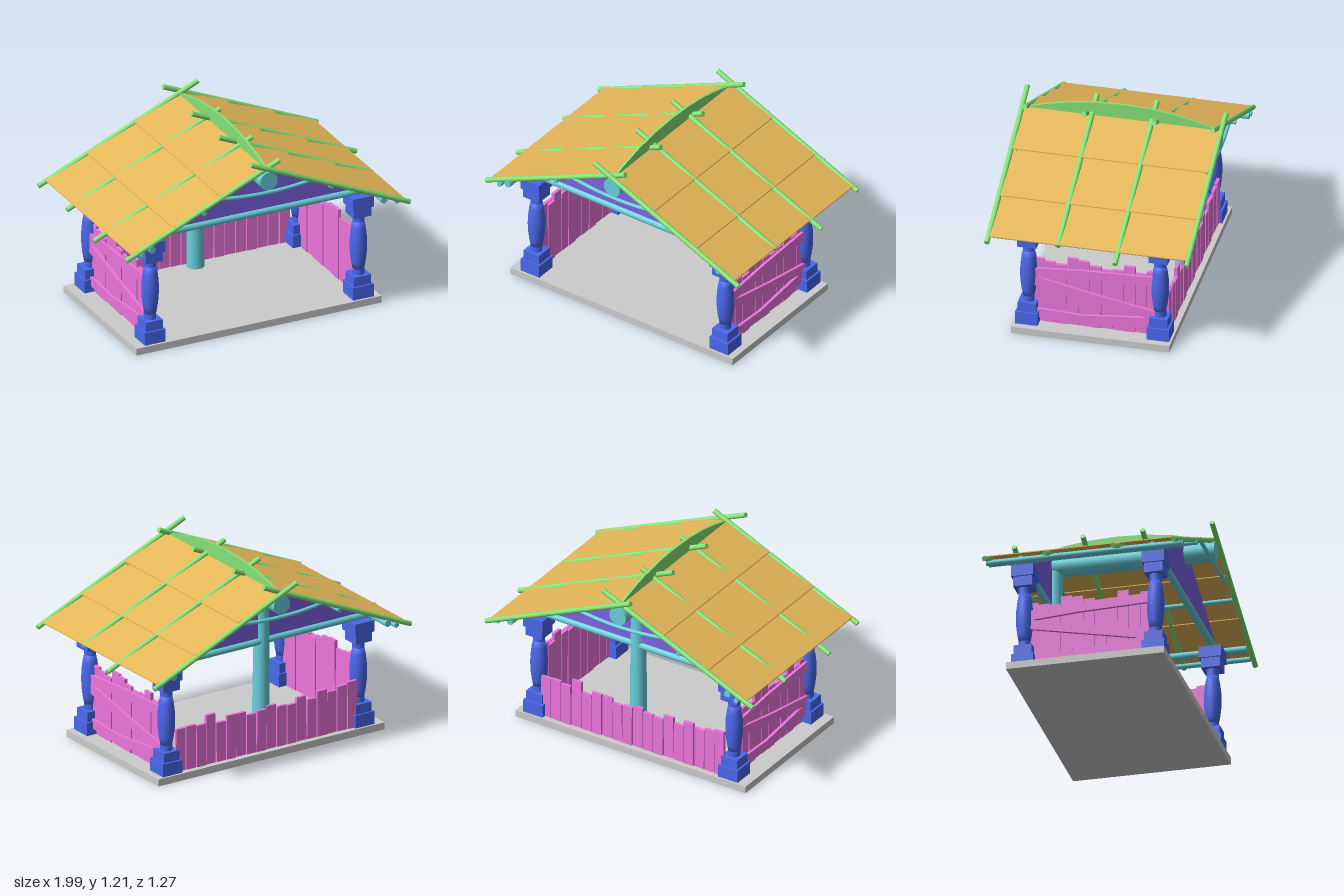
import * as THREE from 'three';

const mat = color => new THREE.MeshStandardMaterial({ color });
const GREY = mat(0xcccccc), GREEN = mat(0x86e276), TAN = mat(0xe4b658), CYAN = mat(0x69d0dc);
const BLUE = mat(0x4a68ec), PURPLE = mat(0x7c62e4), PINK = mat(0xec76dc);
const V = (x, y, z) => new THREE.Vector3(x, y, z);

function add(parent, name, geometry, material, x = 0, y = 0, z = 0) {
  const mesh = new THREE.Mesh(geometry, material);
  mesh.name = name;
  mesh.position.set(x, y, z);
  parent.add(mesh);
  return mesh;
}

// Round pole between two points
function pole(parent, name, a, b, r0, r1, material, sides = 16) {
  const mesh = add(parent, name, new THREE.CylinderGeometry(r1, r0, a.distanceTo(b), sides), material);
  mesh.position.copy(a).add(b).multiplyScalar(0.5);
  mesh.quaternion.setFromUnitVectors(V(0, 1, 0), b.clone().sub(a).normalize());
}

// Flat board cut from an outline, centred on its thickness
function board(points, thickness) {
  const shape = new THREE.Shape(points.map(([x, y]) => new THREE.Vector2(x, y)));
  return new THREE.ExtrudeGeometry(shape, { depth: thickness, bevelEnabled: false })
    .translate(0, 0, -thickness / 2);
}
// Same, with the outline given as (z, y)
const sideBoard = (points, thickness) => board(points, thickness).rotateY(-Math.PI / 2);

// Turned post with stepped square foot and capital
function makePost(x, z) {
  const post = new THREE.Group();
  post.name = 'cornerPost';
  const blocks = [[0.002, 0.128, 0.14], [0.128, 0.19, 0.115], [0.585, 0.648, 0.118], [0.648, 0.722, 0.14]];
  for (const [y0, y1, w] of blocks)
    add(post, 'postBlock', new THREE.BoxGeometry(w, y1 - y0, w), BLUE, 0, (y0 + y1) / 2);
  for (const [y0, y1] of [[0.19, 0.226], [0.542, 0.585]])
    add(post, 'postNeck', new THREE.CylinderGeometry(0.037, 0.037, y1 - y0, 20), BLUE, 0, (y0 + y1) / 2);
  const profile = [[0, 0.224], [0.036, 0.224], [0.045, 0.27], [0.052, 0.33], [0.054, 0.385],
    [0.052, 0.44], [0.045, 0.5], [0.036, 0.545], [0, 0.545]];
  add(post, 'postShaft', new THREE.LatheGeometry(profile.map(p => new THREE.Vector2(...p)), 20), BLUE);
  post.position.set(x, 0, z);
  return post;
}

// Row of uneven pickets along x; fill is the share of each step taken by wood
function pickets(parent, heights, from, to, depth, fill) {
  const step = (to - from) / heights.length;
  heights.forEach((top, i) => {
    const picket = add(parent, 'picket', new THREE.BoxGeometry(step * fill, top - 0.02, 0.02), PINK,
      from + step * (i + 0.5), (top + 0.02) / 2, depth + (i % 3 - 1) * 0.003);
    picket.rotation.z = ((i * 7) % 5 - 2) * 0.004;
  });
}

// Side fence with rails and a diagonal brace on its outer face
function makeSideFence() {
  const fence = new THREE.Group();
  fence.name = 'sideFence';
  const row = new THREE.Group();
  row.name = 'sidePickets';
  row.rotation.y = Math.PI / 2;
  pickets(row, [0.485, 0.47, 0.46, 0.51, 0.5, 0.475, 0.455, 0.465, 0.505, 0.46, 0.485], -0.39, 0.39, 0.7, 0.98);
  fence.add(row);
  const rails = {
    topRail: [[0.385, 0.36], [0.06, 0.385], [-0.375, 0.4], [-0.375, 0.462], [0.06, 0.448], [0.385, 0.425]],
    diagonalBrace: [[0.385, 0.307], [-0.375, 0.157], [-0.375, 0.22], [0, 0.288], [0.385, 0.37]],
    bottomRail: [[0.385, 0.085], [0.08, 0.07], [-0.375, 0.1], [-0.375, 0.175], [0.08, 0.13], [0.385, 0.145]],
  };
  for (const [name, points] of Object.entries(rails))
    add(fence, name, sideBoard(points, 0.018), PINK, 0.722);
  return fence;
}

// Height of the rafter line at a distance from the ridge
const slopeY = x => 1.122 - 0.4414 * x;

// One roof slope, built on +x or -x
function makeSlope(side, length, eaveX, rafters) {
  const slope = new THREE.Group();
  slope.name = side > 0 ? 'leftRoofSlope' : 'rightRoofSlope';
  // Three overlapping courses, each tucked under the one above and lifted at its lower edge
  for (const [a, b] of [[0, 0.317], [0.26, 0.637], [0.58, 0.918]]) {
    const ya = slopeY(a) - 0.008, yb = slopeY(b) + 0.015;
    const outline = [[a, ya], [a, ya - 0.006], [b, yb - 0.006], [b, yb]].map(([x, y]) => [x * side, y]);
    add(slope, 'roofPanel', board(outline, length), TAN);
  }
  // Rafters crossing over the ridge
  for (const [z, top, end, drop] of rafters)
    pole(slope, 'rafter', V(side * top, slopeY(top) - drop, z), V(side * end, slopeY(end) - drop, z),
      0.016, 0.016, GREEN);
  // Purlins under the panels
  for (const [x, y, r] of [[0.43, 0.908, 0.014], [0.785, 0.742, 0.022], [eaveX, 0.716, 0.016]])
    pole(slope, 'purlin', V(side * x, y, -0.607), V(side * x, y, 0.607), r, r, CYAN);
  return slope;
}

// Gable wall with tie beam
function makeGable(z) {
  const gable = new THREE.Group();
  gable.name = z > 0 ? 'frontGable' : 'backGable';
  add(gable, 'gableWall', board([[-0.82, 0.745], [0.82, 0.745], [0, 1.107]], 0.012), PURPLE);
  pole(gable, 'tieBeam', V(-0.805, 0.743, 0), V(0.805, 0.743, 0), 0.023, 0.023, CYAN);
  gable.position.z = z;
  return gable;
}

// Bowed collar between the outer rafters
function makeCollar(parent, side) {
  const bow = [-0.32, -0.16, 0, 0.16, 0.32].map(x => V(x, 0.96 + 0.18 * x * x, side * (0.602 - 0.1 * x * x)));
  add(parent, 'collar', new THREE.TubeGeometry(new THREE.CatmullRomCurve3(bow), 20, 0.012, 10), CYAN);
}

export function createModel() {
  const model = new THREE.Group();
  model.name = 'pavilion';

  add(model, 'floorSlab', new THREE.BoxGeometry(1.66, 0.045, 0.987), GREY, -0.01, 0.0225, 0.007);

  for (const x of [-0.705, 0.705])
    for (const z of [0.415, -0.403]) model.add(makePost(x, z));

  // Centre pole and ridge beam
  pole(model, 'centrePole', V(0, 0.002, -0.383), V(-0.005, 1.04, -0.39), 0.056, 0.045, CYAN, 20);
  pole(model, 'ridgeBeam', V(0, 1.04, -0.615), V(0, 1.04, 0.615), 0.06, 0.06, CYAN, 20);

  // Fences on three sides
  const back = new THREE.Group();
  back.name = 'backFence';
  pickets(back, [0.35, 0.335, 0.315, 0.34, 0.3, 0.33, 0.3, 0.305, 0.325, 0.31, 0.3, 0.325, 0.33, 0.3, 0.365,
    0.315, 0.325, 0.32], -0.665, 0.665, -0.44, 0.92);
  model.add(back);
  const leftFence = makeSideFence(), rightFence = makeSideFence();
  rightFence.rotation.y = Math.PI;
  model.add(leftFence, rightFence);

  for (const z of [0.418, -0.405]) model.add(makeGable(z));
  for (const side of [1, -1]) makeCollar(model, side);

  // Roof: rafters as [z, ridge end, eave end, drop]
  model.add(makeSlope(1, 1.22, 0.875,
    [[0.62, -0.125, 0.95, 0], [0.185, -0.125, 0.915, 0], [-0.187, -0.125, 0.99, 0], [-0.622, -0.1, 0.945, 0]]));
  model.add(makeSlope(-1, 1.185, 0.848,
    [[0.588, -0.083, 0.955, 0.004], [0.22, -0.083, 0.99, 0.006], [-0.217, -0.083, 0.955, 0.006], [-0.59, -0.12, 0.96, 0.002]]));

  // Arched ridge board
  const half = [[0.58, 1.116], [0.46, 1.15], [0.33, 1.18], [0.17, 1.2]];
  const arch = [[-0.58, 1.1], [0.58, 1.1], ...half, [0, 1.207], ...half.map(([z, y]) => [-z, y]).reverse()];
  add(model, 'ridgeBoard', sideBoard(arch, 0.015), GREEN);

  return model;
}
